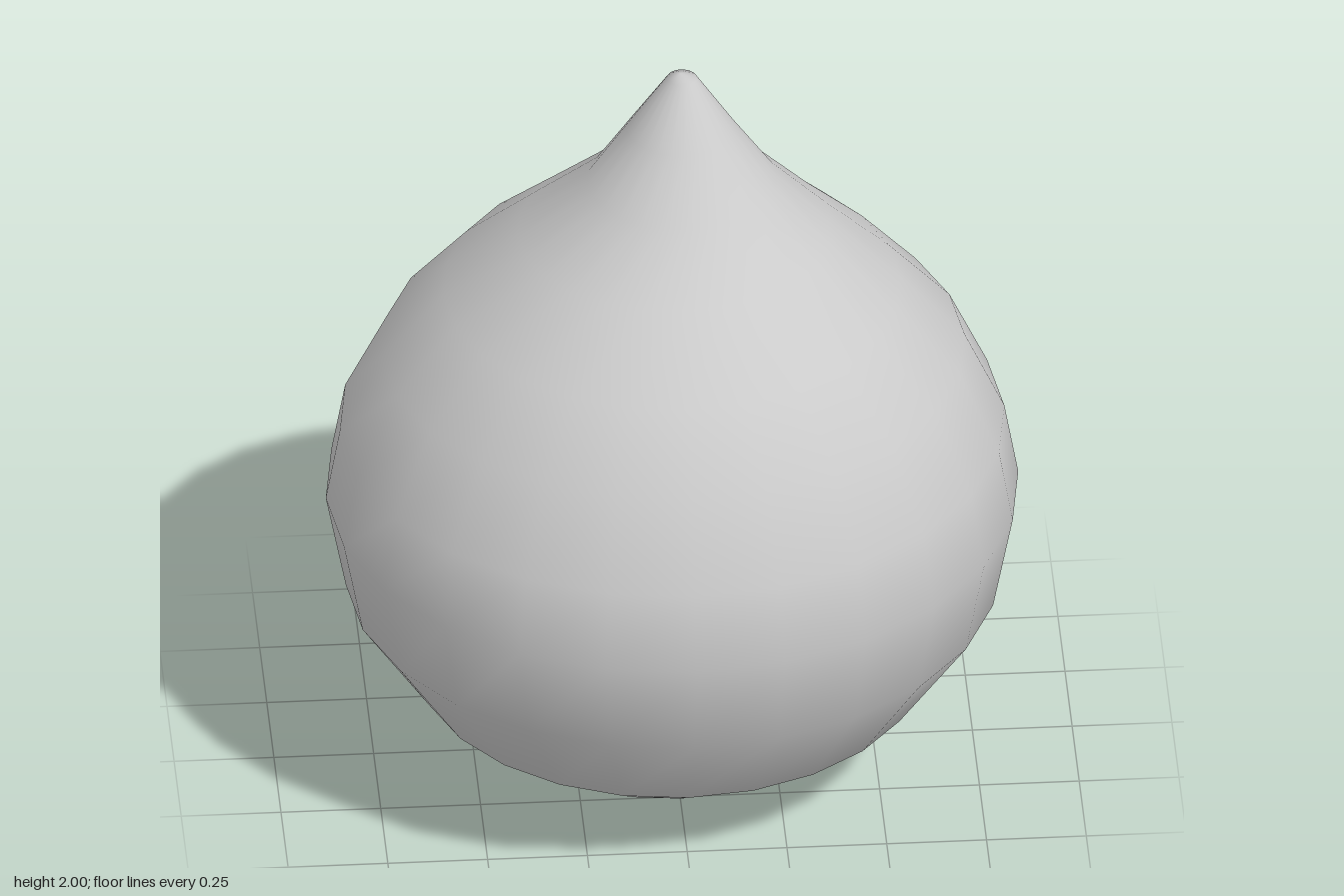
import * as THREE from 'three';

// Cross-sections from bottom to top: [y, min x, max x, min z, max z]
const RINGS = [
  [0.02, -0.23, 0.18, -0.22, 0.21],
  [0.1, -0.44, 0.42, -0.41, 0.41],
  [0.24, -0.64, 0.63, -0.615, 0.62],
  [0.51, -0.82, 0.815, -0.80, 0.805],
  [0.77, -0.87, 0.865, -0.855, 0.855],
  [0.97, -0.835, 0.83, -0.81, 0.815],
  [1.19, -0.73, 0.73, -0.70, 0.71],
  [1.37, -0.575, 0.57, -0.56, 0.575],
  [1.54, -0.39, 0.40, -0.37, 0.385],
  [1.69, -0.215, 0.26, -0.22, 0.245],
  [1.84, -0.115, 0.155, -0.125, 0.135],
  [1.985, -0.015, 0.06, -0.04, 0.035],
];
const SIDES = 24;

// Closed loft of elliptical rings with a pole at each end
function loftDrop() {
  const positions = [];
  const index = [];
  for (const [y, x0, x1, z0, z1] of RINGS) {
    for (let i = 0; i < SIDES; i++) {
      const a = (i / SIDES) * Math.PI * 2;
      positions.push(
        (x0 + x1) / 2 + ((x1 - x0) / 2) * Math.sin(a),
        y,
        (z0 + z1) / 2 + ((z1 - z0) / 2) * Math.cos(a)
      );
    }
  }
  const bottom = RINGS.length * SIDES;
  const top = bottom + 1;
  positions.push(-0.01, 0, 0, 0.02, 2, 0);

  const last = (RINGS.length - 1) * SIDES;
  for (let i = 0; i < SIDES; i++) {
    const j = (i + 1) % SIDES;
    index.push(bottom, j, i, top, last + i, last + j);
    for (let r = 0; r < last; r += SIDES) {
      index.push(r + i, r + j, r + SIDES + j, r + i, r + SIDES + j, r + SIDES + i);
    }
  }

  const geometry = new THREE.BufferGeometry();
  geometry.setAttribute('position', new THREE.Float32BufferAttribute(positions, 3));
  geometry.setIndex(index);
  geometry.computeVertexNormals();
  return geometry;
}

export function createModel() {
  const group = new THREE.Group();
  group.name = 'drop';
  // Rounded body drawn up into a slightly off-centre tip
  const body = new THREE.Mesh(loftDrop(), new THREE.MeshStandardMaterial({ color: 0xcccccc }));
  body.name = 'dropBody';
  group.add(body);
  return group;
}
